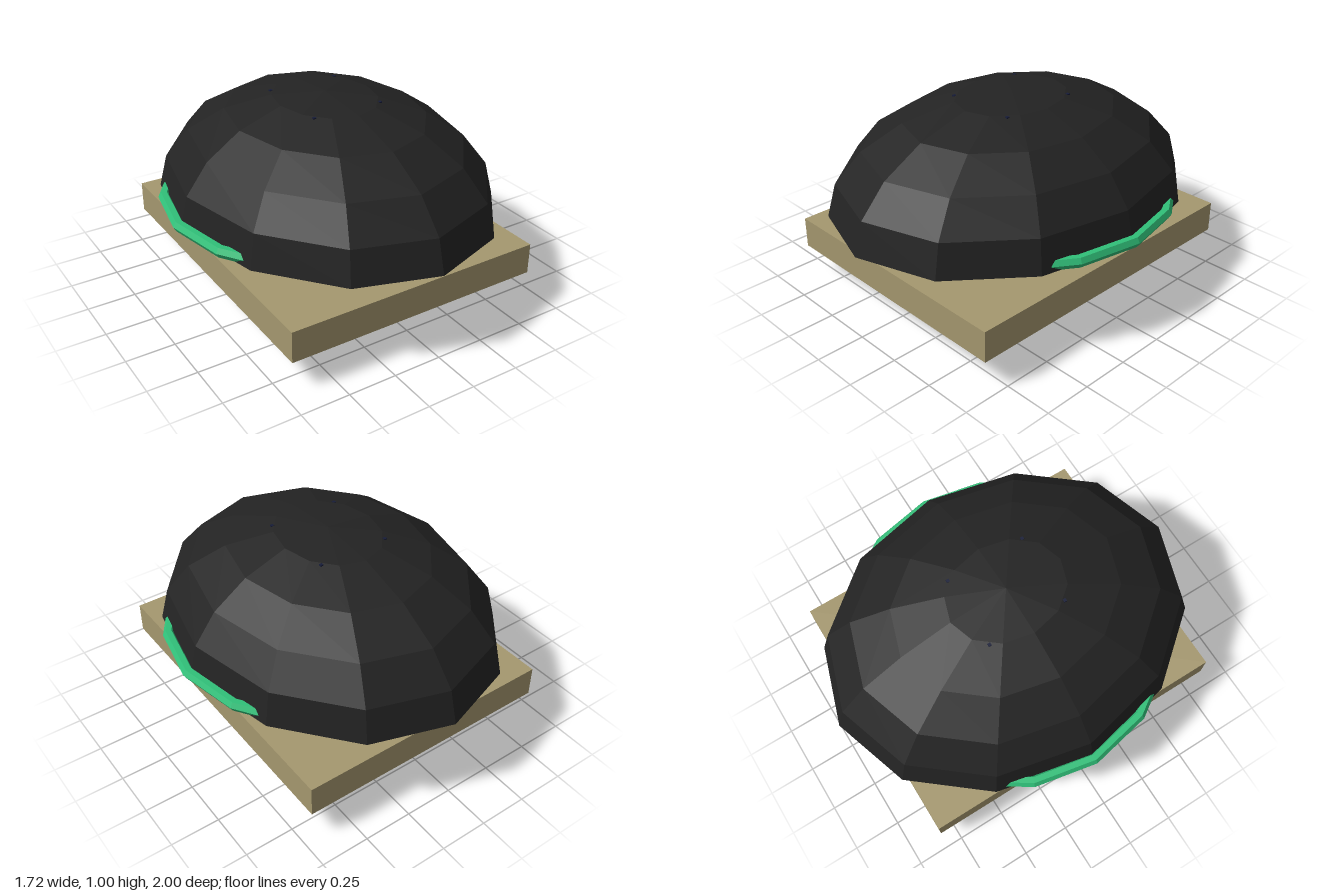
import * as THREE from 'three';
import { ConvexGeometry } from 'three/addons/geometries/ConvexGeometry.js';

const material = (name, color, side = THREE.FrontSide) => {
  const m = new THREE.MeshStandardMaterial({ color, side, flatShading: true });
  m.name = name;
  return m;
};

export function createModel() {
  const group = new THREE.Group();
  const black = material('shell black', 0x232323, THREE.DoubleSide);
  const mint = material('rim mint', 0x30c079);
  const tan = material('board tan', 0xa5986f);
  const green = material('leg green', 0x547f4f);
  const navy = material('lining navy', 0x161c38, THREE.DoubleSide);

  const add = (name, geometry, mat, x = 0, y = 0, z = 0) => {
    const mesh = new THREE.Mesh(geometry, mat);
    mesh.name = name;
    mesh.position.set(x, y, z);
    group.add(mesh);
    return mesh;
  };
  // Side profile given as [z, y], extruded across x and centred
  const sideExtrude = (points, width) => {
    const shape = new THREE.Shape(points.map(([z, y]) => new THREE.Vector2(z, y)));
    return new THREE.ExtrudeGeometry(shape, { depth: width, bevelEnabled: false })
      .translate(0, 0, -width / 2).rotateY(-Math.PI / 2);
  };

  // Open twelve-sided oval shell
  add('shell', new THREE.SphereGeometry(1, 12, 5, 0, Math.PI * 2, 0, Math.PI / 2)
    .scale(0.82, 0.55, 1), black, 0, 0.45, 0);

  // Smaller lining inside the shell
  add('lining', new THREE.SphereGeometry(1, 8, 4, 0, Math.PI * 2, 0, Math.PI / 2)
    .scale(0.68, 0.47, 0.75), navy, 0, 0.48, 0);

  // Tiny stud tips breaking through the top of the shell
  for (const x of [-0.19, 0.19]) for (const z of [-0.21, 0.21])
    add('studTip', new THREE.BoxGeometry(0.016, 0.04, 0.016), navy, x, 0.953, z);

  // Round rim that shows at both sides of the oval shell
  add('rim', new THREE.TorusGeometry(0.83, 0.03, 6, 16).rotateX(Math.PI / 2), mint, 0, 0.476, 0);

  // Flat board around the leg
  add('board', new THREE.BoxGeometry(1.385, 0.163, 1.665), tan, 0, 0.225, 0);

  // Foot, shin and bent thigh
  add('foot', new THREE.BoxGeometry(0.285, 0.112, 0.4), green, 0, 0.056, 0.06);
  add('shin', new THREE.BoxGeometry(0.19, 0.3, 0.22), green, 0, 0.25, 0);
  add('thigh', sideExtrude([[0.33, 0.45], [0.13, 0.31], [-0.09, 0.31], [-0.1, 0.45],
    [0, 0.58], [0.25, 0.58]], 0.25), green);

  // Tapering tail plate at the back
  add('tail', sideExtrude([[0.1, 0.36], [-0.05, 0.335], [-0.33, 0.325], [-0.33, 0.355],
    [-0.1, 0.44], [0.1, 0.46]], 0.27), green);

  // Pointed keel under the front
  const keel = [[0, 0.38, 0.42]];
  for (const s of [-1, 1])
    keel.push([s * 0.14, 0.43, 0.57], [s * 0.14, 0.43, 0.3], [s * 0.14, 0.5, 0.56], [s * 0.14, 0.5, 0.25]);
  add('keel', new ConvexGeometry(keel.map((p) => new THREE.Vector3(...p))), green);

  return group;
}
